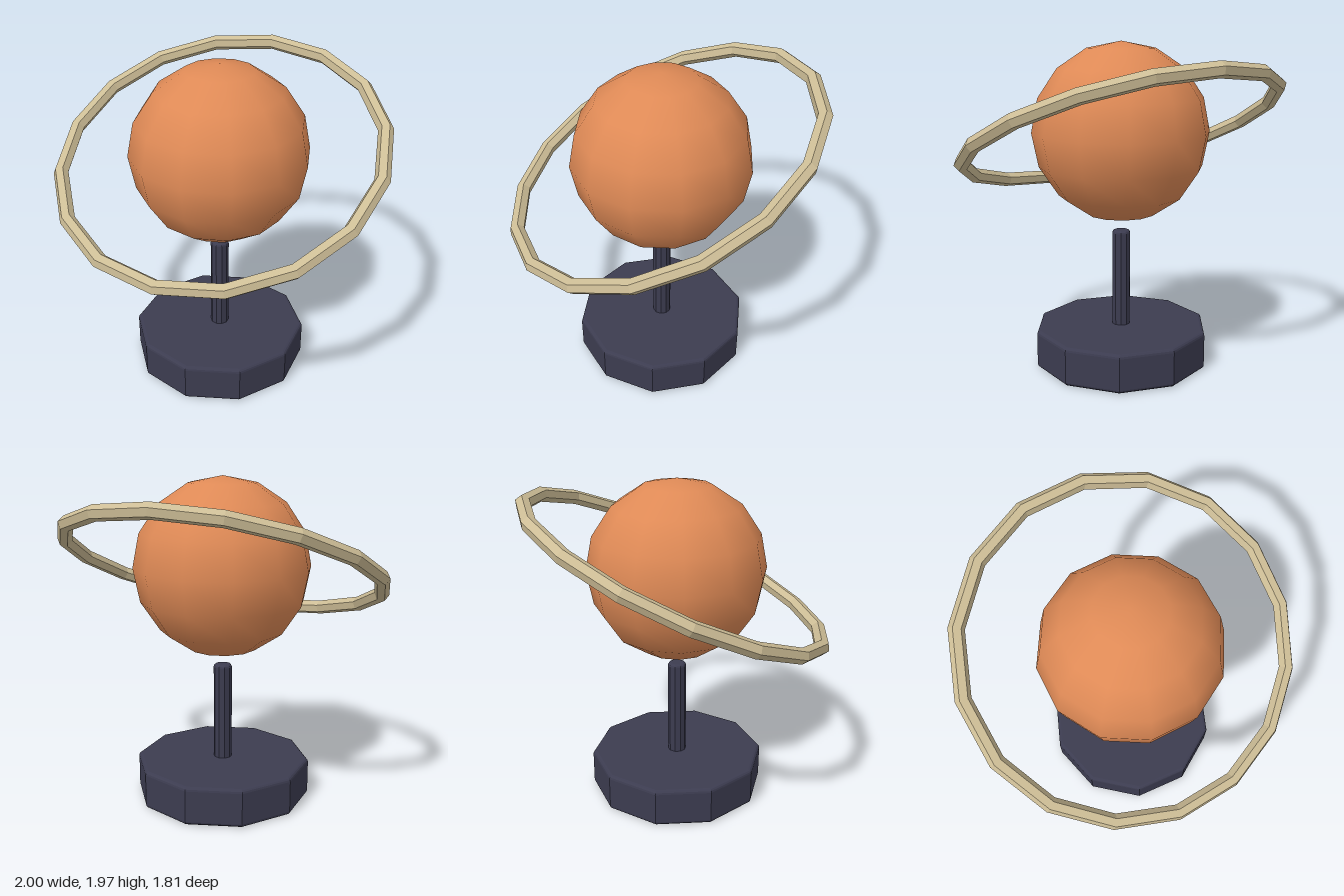
import * as THREE from 'three';

const orange = new THREE.MeshStandardMaterial({ name: 'planet orange', color: 0xdf8a56 });
const sand = new THREE.MeshStandardMaterial({ name: 'ring sand', color: 0xcdbd96 });
const slate = new THREE.MeshStandardMaterial({ name: 'stand slate', color: 0x3c3c50 });
sand.flatShading = true;
slate.flatShading = true;

// Ten-sided solid with rounded top and bottom rims
function bevelledDrum(radius, y0, y1, bevel) {
  const points = [new THREE.Vector2(0, y0)];
  const steps = 3;
  for (let i = 0; i <= steps; i++) {
    const a = (i / steps) * Math.PI / 2;
    points.push(new THREE.Vector2(
      radius - bevel + bevel * Math.sin(a), y0 + bevel - bevel * Math.cos(a)));
  }
  for (let i = 0; i <= steps; i++) {
    const a = (i / steps) * Math.PI / 2;
    points.push(new THREE.Vector2(
      radius - bevel + bevel * Math.cos(a), y1 - bevel + bevel * Math.sin(a)));
  }
  points.push(new THREE.Vector2(0, y1));
  return new THREE.LatheGeometry(points, 10);
}

export function createModel() {
  const model = new THREE.Group();
  model.name = 'ringedPlanetOnStand';

  const add = (name, geometry, material) => {
    const mesh = new THREE.Mesh(geometry, material);
    mesh.name = name;
    model.add(mesh);
    return mesh;
  };

  // Stand
  add('base', bevelledDrum(0.535, 0, 0.235, 0.022), slate);
  add('post', bevelledDrum(0.056, 0.2, 0.835, 0.018), slate);

  // Planet floating above the post
  add('planet', new THREE.SphereGeometry(0.534, 12, 8), orange).position.y = 1.433;

  // Hexagonal ring, tilted down towards the front
  const ring = add('ring', new THREE.TorusGeometry(0.955, 0.045, 6, 16), sand);
  ring.position.y = 1.435;
  ring.rotation.x = THREE.MathUtils.degToRad(25 - 90);

  return model;
}
